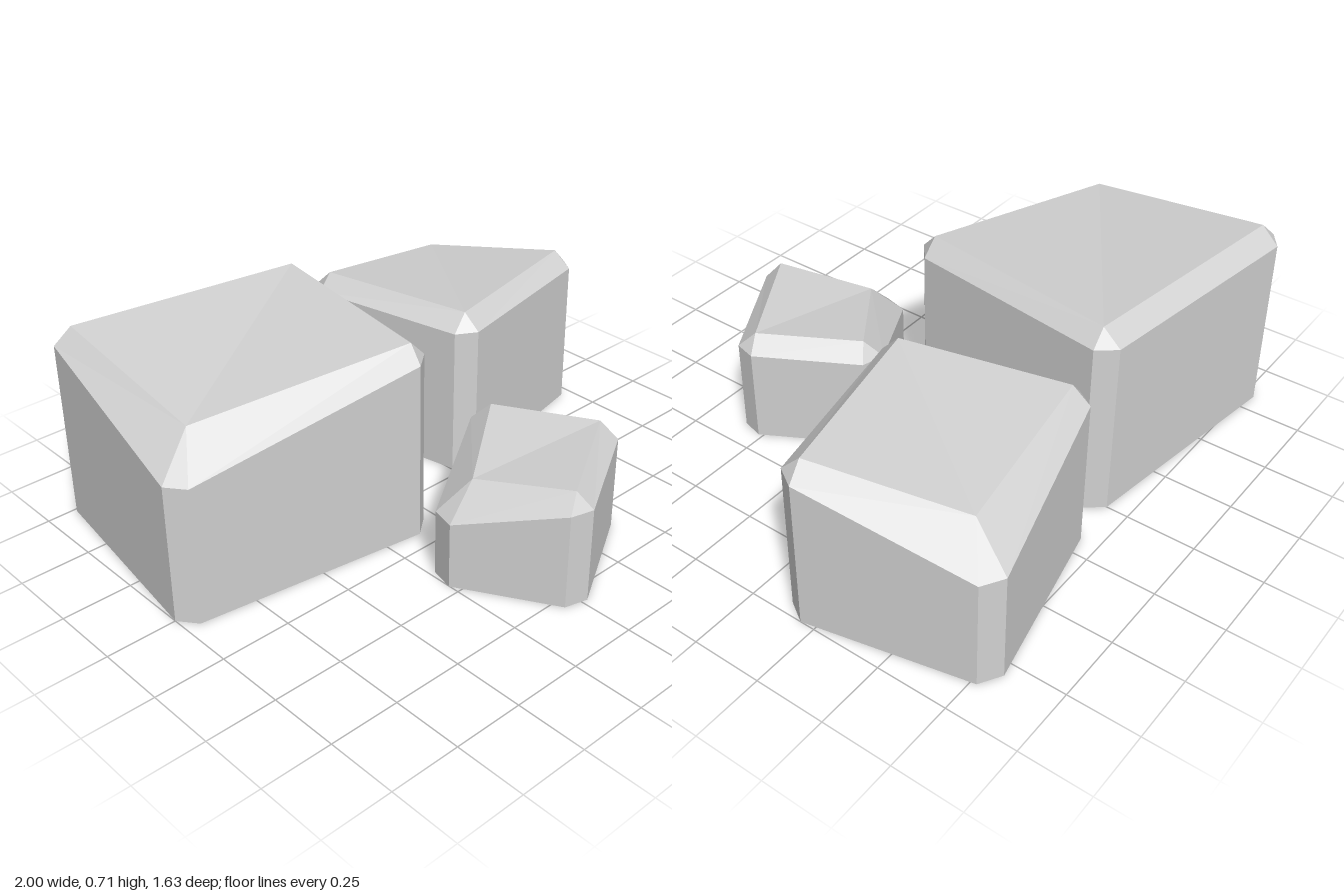
import * as THREE from 'three';

// Each block: footprint [x, z] (two points per clipped corner, clockwise from above),
// inset top corners [x, z], and one lowered corner.
const BLOCKS = [
  {
    name: 'largeRock', wall: 0.65, top: 0.71, low: 3, lowWall: 0.5, lowTop: 0.63,
    base: [[-0.895, -0.738], [-0.83, -0.785], [0, -0.67], [0.053, -0.605],
      [-0.05, 0.13], [-0.117, 0.183], [-0.95, 0.065], [-1, 0]],
    cap: [[-0.835, -0.72], [0, -0.605], [-0.107, 0.127], [-0.86, -0.055]],
  },
  {
    name: 'mediumRock', wall: 0.55, top: 0.61, low: 1, lowWall: 0.4, lowTop: 0.53,
    base: [[0.135, -0.615], [0.18, -0.683], [0.8, -0.815], [0.875, -0.77],
      [1, -0.197], [0.955, -0.125], [0.328, 0.008], [0.255, -0.035]],
    cap: [[0.19, -0.622], [0.763, -0.678], [0.94, -0.187], [0.318, -0.05]],
  },
  {
    name: 'smallRock', wall: 0.345, top: 0.405, low: 0, lowWall: 0.24, lowTop: 0.355,
    base: [[-0.252, 0.46], [-0.23, 0.373], [0.147, 0.157], [0.23, 0.18],
      [0.42, 0.517], [0.4, 0.594], [0.022, 0.812], [-0.06, 0.79]],
    cap: [[-0.135, 0.442], [0.185, 0.212], [0.37, 0.537], [-0.008, 0.763]],
  },
];

function rockGeometry({ base, cap, wall, top, low, lowWall, lowTop }) {
  const positions = [];
  const tri = (...points) => points.forEach((p) => positions.push(...p));
  const quad = (a, b, c, d) => { tri(a, b, c); tri(a, c, d); };

  const floor = base.map(([x, z]) => [x, 0, z]);
  const rim = base.map(([x, z], i) => [x, (i >> 1) === low ? lowWall : wall, z]);
  const crown = cap.map(([x, z], i) => [x, i === low ? lowTop : top, z]);

  // walls and sloped shoulders
  for (let i = 0; i < 8; i++) {
    const n = (i + 1) % 8;
    const c = i >> 1;
    quad(floor[n], floor[i], rim[i], rim[n]);
    if (i % 2 === 0) tri(rim[n], rim[i], crown[c]);
    else quad(rim[n], rim[i], crown[c], crown[(c + 1) % 4]);
  }

  // top, folded through the lowered corner
  const at = (k) => crown[(low + k) % 4];
  tri(at(0), at(2), at(1));
  tri(at(0), at(3), at(2));

  // underside
  for (let i = 1; i < 7; i++) tri(floor[0], floor[i], floor[i + 1]);

  const geometry = new THREE.BufferGeometry();
  geometry.setAttribute('position', new THREE.Float32BufferAttribute(positions, 3));
  geometry.computeVertexNormals(); // unshared corners give flat faces
  return geometry;
}

export function createModel() {
  const group = new THREE.Group();
  group.name = 'rocks';
  const stone = new THREE.MeshStandardMaterial({ color: 0xd2d2d2 });
  stone.name = 'pale stone grey';
  for (const block of BLOCKS) {
    const mesh = new THREE.Mesh(rockGeometry(block), stone);
    mesh.name = block.name;
    group.add(mesh);
  }
  return group;
}
